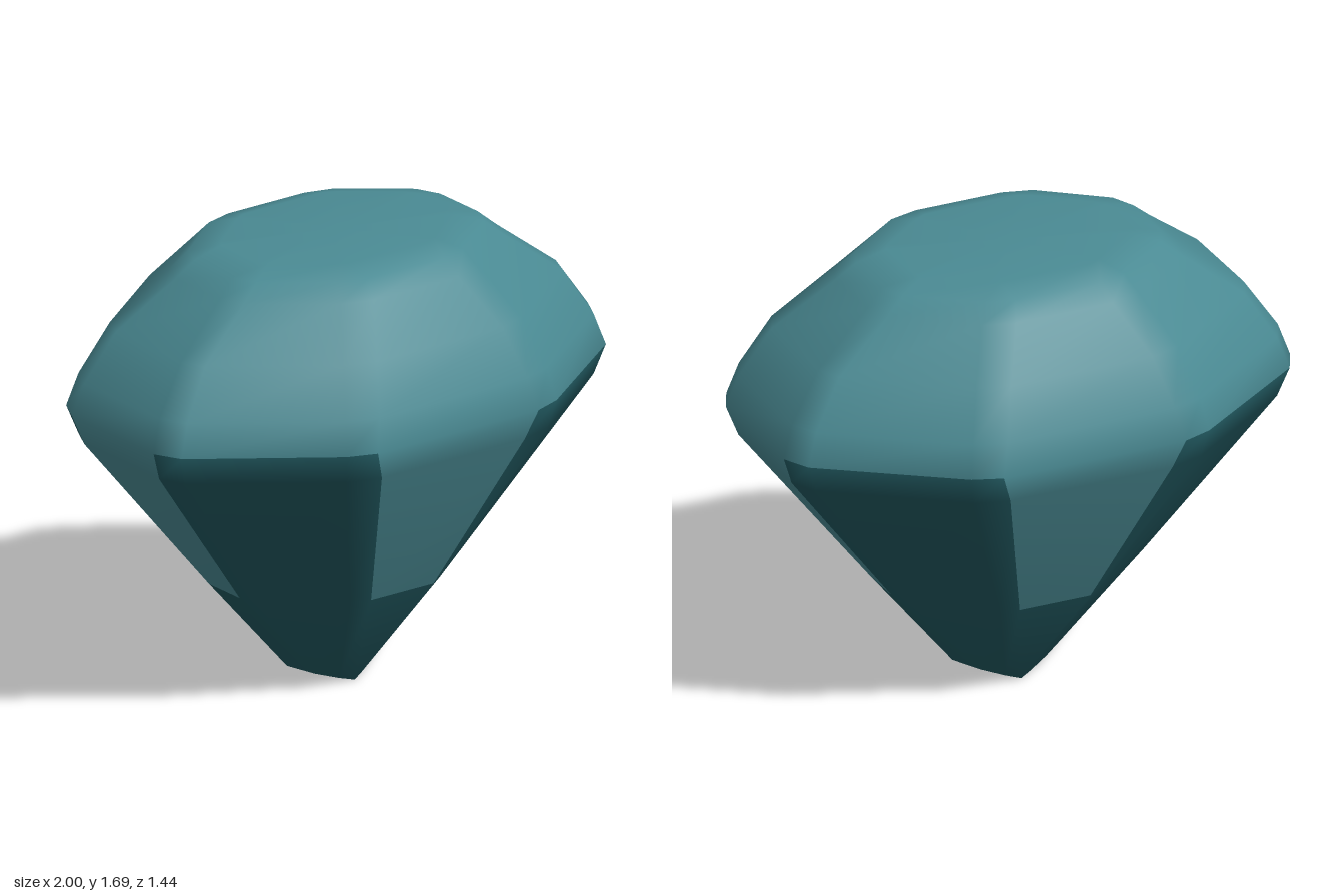
import * as THREE from 'three';
import { mergeVertices } from 'three/addons/utils/BufferGeometryUtils.js';

// One quadrant of each ring, from the side facet (+x) round to the front facet (+z)
const level = (y, ...pts) => pts.map(([x, z]) => [x, y, z]);
const LEVELS = [
  level(1.69, [0.43, 0.11], [0.41, 0.14], [0.22, 0.29], [0.18, 0.31]),
  level(1.66, [0.55, 0.11], [0.51, 0.2], [0.28, 0.38], [0.17, 0.41]),
  level(1.6, [0.62, 0.13], [0.58, 0.22], [0.31, 0.43], [0.19, 0.47]),
  level(1.43, [0.84, 0.19], [0.8, 0.28], [0.4, 0.57], [0.28, 0.61]),
  level(1.25, [0.96, 0.22], [0.91, 0.32], [0.45, 0.65], [0.33, 0.69]),
  level(1.13, [1, 0.24], [0.95, 0.34], [0.47, 0.68], [0.36, 0.72]),
  level(1.02, [0.96, 0.22], [0.91, 0.32], [0.45, 0.65], [0.32, 0.69]),
  level(0.42, [0.5, 0.09], [0.47, 0.13], [0.2, 0.35], [0.14, 0.39]),
  // saddle-shaped tip
  [[0.22, 0.07, 0], [0.13, 0.033, 0.045], [0.05, 0.01, 0.085], [0, 0, 0.11]],
];
const GIRDLE = 5, PANEL_END = 7;

// Mirror a quadrant into a full 16-point ring
function fullRing(q) {
  const half = [...q, ...[...q].reverse().map(([x, y, z]) => [-x, y, z])];
  return [...half, ...half.map(([x, y, z]) => [-x, y, -z])];
}

export function createModel() {
  const group = new THREE.Group();
  const light = new THREE.MeshStandardMaterial({ color: 0x4a8a93 });
  light.name = 'light teal';
  const dark = new THREE.MeshStandardMaterial({ color: 0x20565d });
  dark.name = 'dark teal';

  const rings = LEVELS.map(fullRing);
  const n = 16;
  const parts = { crown: [], panels: [], pavilion: [] };
  const same = (a, b) => a.every((v, i) => Math.abs(v - b[i]) < 1e-6);
  const tri = (part, a, b, c) => {
    if (!same(a, b) && !same(b, c) && !same(c, a)) part.push(...a, ...b, ...c);
  };

  // Facets between rings
  for (let i = 0; i < rings.length - 1; i++) {
    for (let j = 0; j < n; j++) {
      const k = (j + 1) % n;
      const panel = j % 4 === 3 && i < PANEL_END;
      const part = i < GIRDLE ? parts.crown : panel ? parts.panels : parts.pavilion;
      tri(part, rings[i][j], rings[i][k], rings[i + 1][k]);
      tri(part, rings[i][j], rings[i + 1][k], rings[i + 1][j]);
    }
  }

  // Flat table on top and the closed tip below
  const last = rings[rings.length - 1];
  for (let j = 0; j < n; j++) {
    const k = (j + 1) % n;
    tri(parts.crown, [0, 1.69, 0], rings[0][k], rings[0][j]);
    tri(parts.pavilion, [0, 0, 0], last[j], last[k]);
  }

  // Shared smooth normals, so the bevels blend across part borders
  const raw = new THREE.BufferGeometry();
  raw.setAttribute('position',
    new THREE.Float32BufferAttribute(Object.values(parts).flat(), 3));
  const whole = mergeVertices(raw);
  whole.computeVertexNormals();

  // Split into one mesh per part
  const indices = Array.from(whole.index.array);
  const materials = { crown: light, panels: light, pavilion: dark };
  let start = 0;
  for (const [name, data] of Object.entries(parts)) {
    const count = data.length / 3;
    const geometry = new THREE.BufferGeometry();
    geometry.setAttribute('position', whole.getAttribute('position').clone());
    geometry.setAttribute('normal', whole.getAttribute('normal').clone());
    geometry.setIndex(indices.slice(start, start + count));
    start += count;
    const mesh = new THREE.Mesh(geometry, materials[name]);
    mesh.name = name;
    group.add(mesh);
  }
  group.name = 'gem';
  return group;
}
